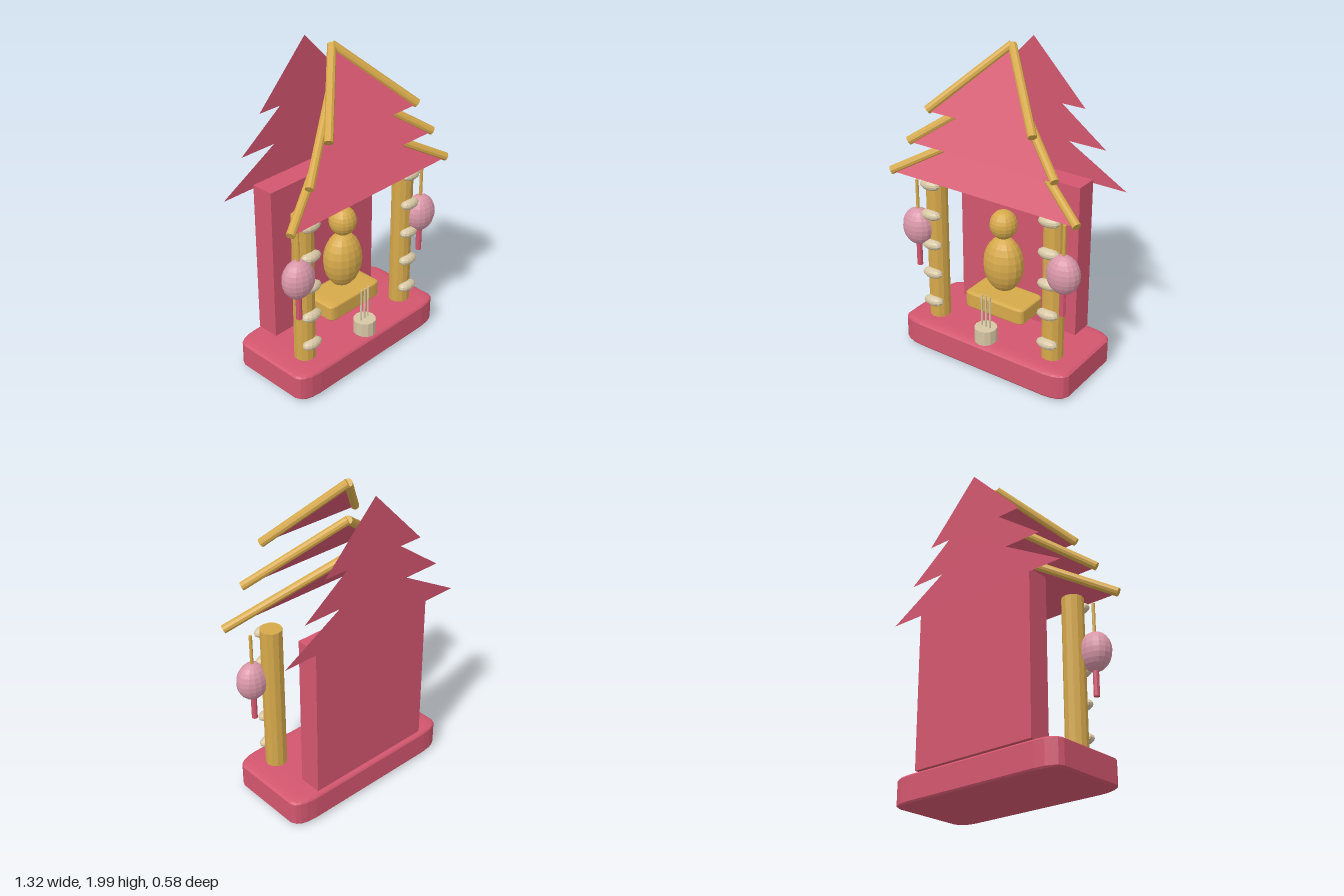
import * as THREE from 'three';
import { RoundedBoxGeometry } from 'three/addons/geometries/RoundedBoxGeometry.js';

export function createModel() {
  const model = new THREE.Group();
  model.name = 'shrine';

  const paint = (name, color, extra = {}) => {
    const m = new THREE.MeshStandardMaterial({ color, flatShading: true, ...extra });
    m.name = name;
    return m;
  };
  const red = paint('rose red', 0xd2566e, { side: THREE.DoubleSide });
  const gold = paint('gold', 0xd6a94b);
  const pink = paint('lantern pink', 0xd997a9);
  const cream = paint('cream', 0xd6c6a4);

  const add = (name, geometry, material, x = 0, y = 0, z = 0) => {
    const mesh = new THREE.Mesh(geometry, material);
    mesh.name = name;
    mesh.position.set(x, y, z);
    model.add(mesh);
    return mesh;
  };
  const ellipsoid = (name, material, x, y, z, rx, ry, rz, w = 16, h = 12) =>
    add(name, new THREE.SphereGeometry(1, w, h), material, x, y, z).scale.set(rx, ry, rz);
  // upright cylinder from y0 to y1
  const post = (name, material, x, z, y0, y1, r, sides = 12) =>
    add(name, new THREE.CylinderGeometry(r, r, y1 - y0, sides), material, x, (y0 + y1) / 2, z);
  // cylinder between two points
  const bar = (name, material, a, b, r) => {
    const dir = b.clone().sub(a);
    const mesh = add(name, new THREE.CylinderGeometry(r, r, dir.length(), 10), material);
    mesh.position.copy(a).add(b).multiplyScalar(0.5);
    mesh.quaternion.setFromUnitVectors(new THREE.Vector3(0, 1, 0), dir.normalize());
  };
  // box whose rounding stretches with its size
  const softBox = (name, material, y, z, w, h, d) =>
    add(name, new RoundedBoxGeometry(1, 1, 1, 2, 0.12), material, 0, y, z).scale.set(w, h, d);
  // triangle with its base at the front or back
  const triangle = (name, w, y0, z0, y1, z1) => {
    const g = new THREE.BufferGeometry();
    g.setAttribute('position', new THREE.Float32BufferAttribute(
      [-w, y0, z0, w, y0, z0, 0, y1, z1], 3));
    g.computeVertexNormals();
    add(name, g, red);
  };

  // base and back wall
  softBox('base', red, 0.1, 0, 1.2, 0.19, 0.585);
  add('backWall', new THREE.BoxGeometry(0.85, 0.99, 0.145), red, 0, 0.695, -0.2);

  // three roof tiers: sloping front panel, upright back gable and two rafters
  [[0.355, 1.61], [0.5, 1.39], [0.645, 1.168]].forEach(([w, y]) => {
    const top = y + 0.367;
    triangle('roofPanel', w, y, 0.265, top, -0.06);
    triangle('backGable', w, y, -0.274, top, -0.274);
    for (const s of [-1, 1]) {
      bar('rafter', gold, new THREE.Vector3(0, top, -0.06),
        new THREE.Vector3(s * w, y + 0.005, 0.265), 0.026);
    }
  });

  // seated figure on a floating cushion
  softBox('cushion', gold, 0.375, 0.025, 0.425, 0.11, 0.235);
  ellipsoid('body', gold, 0, 0.635, 0.025, 0.13, 0.182, 0.11);
  ellipsoid('head', gold, 0, 0.9, 0.025, 0.085, 0.092, 0.085);

  // incense pot and sticks
  post('incensePot', cream, 0, 0.212, 0.19, 0.285, 0.07);
  for (const x of [-0.03, 0, 0.03]) post('incenseStick', cream, x, 0.21, 0.28, 0.5, 0.006, 6);

  // pillars with beads, and hanging lanterns
  for (const s of [-1, 1]) {
    post('pillar', gold, s * 0.42, 0.122, 0.19, 1.15, 0.066);
    for (let i = 0; i < 5; i++) {
      ellipsoid('pillarBead', cream, s * 0.42, 0.31 + i * 0.199, 0.185, 0.07, 0.034, 0.04, 12, 8);
    }
    post('lanternCord', gold, s * 0.52, 0.185, 0.88, 1.115, 0.01, 8);
    ellipsoid('lantern', pink, s * 0.52, 0.807, 0.185, 0.104, 0.121, 0.084);
    post('lanternTassel', red, s * 0.52, 0.185, 0.538, 0.75, 0.018, 8);
  }
  return model;
}
